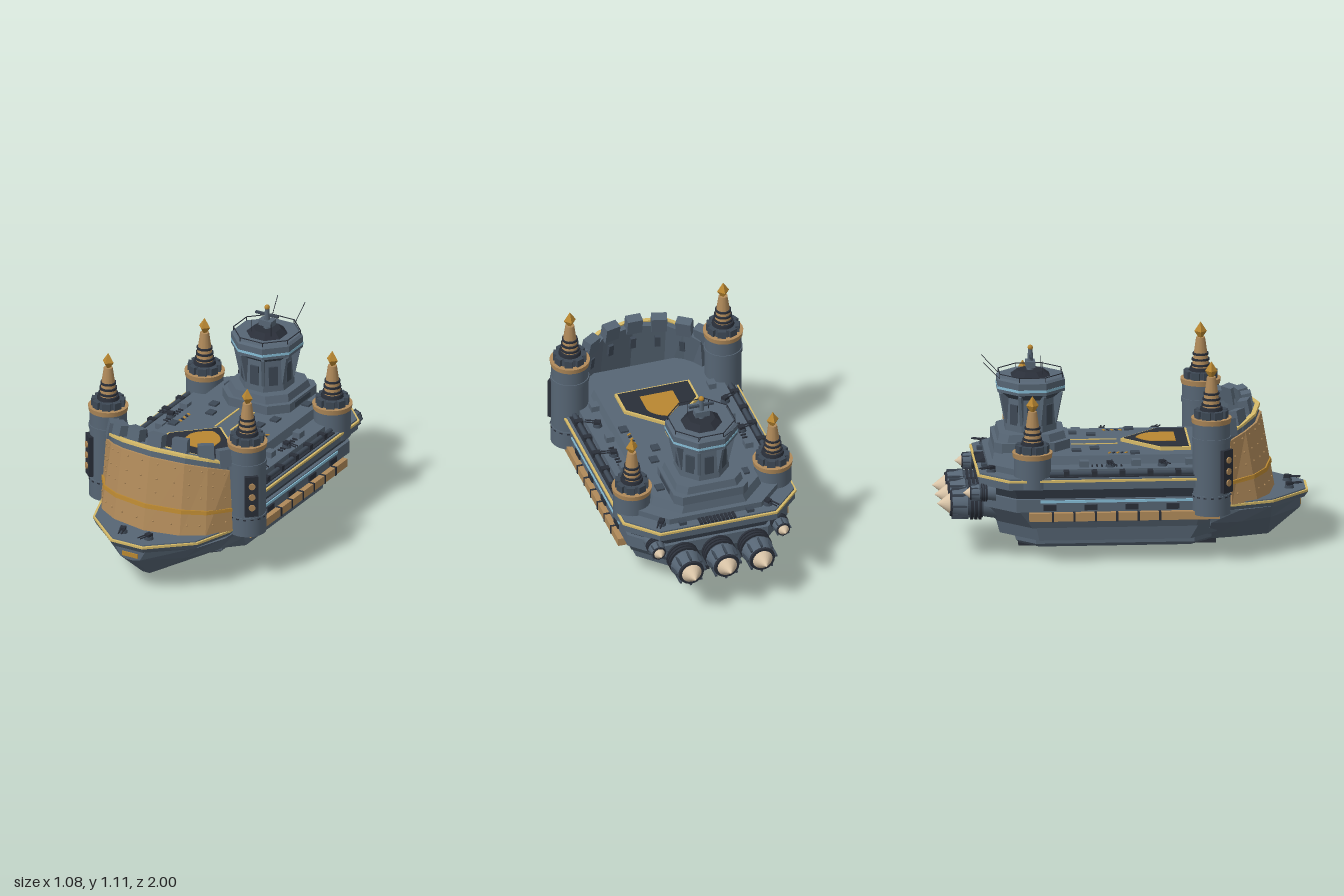
import * as THREE from 'three';

const mat = (name, color) => Object.assign(new THREE.MeshStandardMaterial({ color }), { name });

export function createModel() {
  const slate = mat('slate', 0x566574), deep = mat('deepSlate', 0x3d4855), dark = mat('charcoal', 0x2a2f39);
  const bronze = mat('bronze', 0xb08a5a), gold = mat('gold', 0xb98731), trim = mat('paleGold', 0xd6ba68);
  const cream = mat('cream', 0xdac5a8), blue = mat('lightBlue', 0x86bdd6);
  const root = new THREE.Group();

  const add = (p, name, geo, m, x = 0, y = 0, z = 0, rx = 0, ry = 0, rz = 0) => {
    const o = new THREE.Mesh(geo, m);
    o.name = name;
    o.position.set(x, y, z);
    o.rotation.set(rx, ry, rz, 'YXZ');
    p.add(o);
    return o;
  };
  const box = (w, h, d) => new THREE.BoxGeometry(w, h, d);
  const cyl = (rt, rb, h, n = 24) => new THREE.CylinderGeometry(rt, rb, h, n);
  const flat = (g) => { const f = g.toNonIndexed(); f.computeVertexNormals(); return f; };
  const oct = (rt, rb, h) => flat(cyl(rt, rb, h, 8).rotateY(Math.PI / 8));
  const both = (fn) => [-1, 1].forEach(fn);

  // Flat-shaded solid through convex rings; turned outward by its signed volume
  const loft = (rings) => {
    const tris = [], n = rings[0].length;
    for (let i = 0; i + 1 < rings.length; i++) for (let j = 0; j < n; j++) {
      const k = (j + 1) % n, a = rings[i], b = rings[i + 1];
      tris.push([a[j], a[k], b[k]], [a[j], b[k], b[j]]);
    }
    const end = rings[rings.length - 1];
    for (let j = 1; j + 1 < n; j++) tris.push([rings[0][0], rings[0][j + 1], rings[0][j]], [end[0], end[j], end[j + 1]]);
    const v = (p) => new THREE.Vector3(...p);
    const vol = tris.reduce((s, [a, b, c]) => s + v(a).dot(v(b).cross(v(c))), 0);
    const pos = tris.flatMap(([a, b, c]) => (vol < 0 ? [a, c, b] : [a, b, c])).flat();
    const g = new THREE.BufferGeometry();
    g.setAttribute('position', new THREE.Float32BufferAttribute(pos, 3));
    g.computeVertexNormals();
    return g;
  };
  // Chamfered deck outline: half width, back z, front z, back and front chamfers
  const plan = (y, hx, z0, z1, cb, cf) => [[hx, y, z0 + cb], [hx, y, z1 - cf], [hx - cf, y, z1], [cf - hx, y, z1],
    [-hx, y, z1 - cf], [-hx, y, z0 + cb], [cb - hx, y, z0], [hx - cb, y, z0]];
  const slab = (name, m, y0, y1, a, b = a) => add(root, name, loft([plan(y0, ...a), plan(y1, ...b)]), m);

  // Hull tiers from keel to deck
  add(root, 'keel', box(0.05, 0.05, 1.06), dark, 0, 0.025, -0.02);
  slab('lowerBelly', slate, 0.04, 0.06, [0.21, -0.55, 0.46, 0.1, 0.1], [0.23, -0.57, 0.48, 0.1, 0.1]);
  slab('lowerBelly', slate, 0.06, 0.12, [0.23, -0.57, 0.48, 0.1, 0.1]);
  slab('belly', slate, 0.11, 0.2, [0.36, -0.66, 0.5, 0.2, 0.15], [0.37, -0.68, 0.55, 0.2, 0.15]);
  slab('bilge', slate, 0.19, 0.29, [0.4, -0.68, 0.58, 0.18, 0.2], [0.44, -0.74, 0.6, 0.17, 0.2]);
  slab('hullSide', slate, 0.29, 0.36, [0.45, -0.75, 0.62, 0.16, 0.2]);
  slab('hullRecess', deep, 0.36, 0.42, [0.43, -0.73, 0.61, 0.15, 0.2], [0.46, -0.75, 0.63, 0.15, 0.2]);
  slab('deckLip', slate, 0.42, 0.462, [0.48, -0.78, 0.64, 0.15, 0.2]);
  slab('deckTrim', trim, 0.462, 0.474, [0.49, -0.79, 0.64, 0.16, 0.2]);
  slab('mainDeck', slate, 0.47, 0.482, [0.478, -0.778, 0.64, 0.155, 0.2]);
  slab('midDeck', slate, 0.48, 0.515, [0.41, -0.73, 0.66, 0.15, 0.16]);
  slab('upperDeck', slate, 0.515, 0.56, [0.31, -0.7, 0.6, 0.13, 0.13], [0.295, -0.69, 0.59, 0.13, 0.13]);

  // Side fittings: light strip, bumper beam, gutter pipes
  both((s) => {
    add(root, 'lightStrip', box(0.008, 0.014, 0.82), blue, s * 0.453, 0.348, -0.05);
    add(root, 'bumperBeam', box(0.05, 0.045, 1.02), bronze, s * 0.455, 0.267, -0.01);
    for (let i = 0; i < 6; i++) add(root, 'beamClamp', box(0.056, 0.05, 0.012), dark, s * 0.455, 0.267, 0.18 - i * 0.115);
    add(root, 'gutter', box(0.05, 0.008, 0.78), dark, s * 0.44, 0.484, -0.02);
    add(root, 'gutterPipe', cyl(0.013, 0.013, 0.78, 10), deep, s * 0.44, 0.497, -0.02, Math.PI / 2);
    for (let i = 0; i < 5; i++) add(root, 'pipeJoint', box(0.045, 0.035, 0.03), dark, s * 0.44, 0.498, 0.28 - i * 0.15);
    for (let i = 0; i < 4; i++) add(root, 'sideHatch', box(0.012, 0.03, 0.07), dark, s * 0.453, 0.315, 0.25 - i * 0.22);
    for (let i = 0; i < 9; i++) add(root, 'deckVent', box(0.03, 0.012, 0.008), dark, s * 0.355, 0.517, -0.02 - i * 0.026);
    [[0.15, -0.15], [0.19, -0.25], [0.26, 0.06], [0.24, -0.5]].forEach(([x, z]) =>
      add(root, 'deckHatch', box(0.045, 0.014, 0.05), deep, s * x, 0.564, z));
    [[0.34, 0.06], [0.35, -0.22], [0.33, 0.35]].forEach(([x, z]) =>
      add(root, 'deckLocker', box(0.045, 0.035, 0.05), slate, s * x, 0.53, z));
    add(root, 'aftHatch', box(0.04, 0.02, 0.04), deep, s * 0.19, 0.49, -0.74);
    add(root, 'runwayLine', box(0.01, 0.004, 0.25), trim, s * 0.048, 0.562, -0.145);
    for (let i = 0; i < 5; i++) add(root, 'hazardStripe', box(0.022, 0.004, 0.01), i % 2 ? dark : gold, s * 0.245, 0.562, -0.075 + i * 0.022, 0, s * 0.5);
  });
  for (let i = 0; i < 10; i++) add(root, 'aftGrille', box(0.015, 0.012, 0.05), dark, -0.094 + i * 0.021, 0.486, -0.757);

  // Deck emblem plate
  const shield = (w, z0, zs, za) => new THREE.Shape([[-w, -z0], [w, -z0], [w, -zs], [0, -za], [-w, -zs]].map((p) => new THREE.Vector2(...p)));
  const plate = (shape, d) => new THREE.ExtrudeGeometry(shape, { depth: d, bevelEnabled: false }).rotateX(-Math.PI / 2);
  add(root, 'padTrim', plate(shield(0.21, 0.365, 0.2, 0), 0.018), trim, 0, 0.56);
  add(root, 'pad', plate(shield(0.197, 0.353, 0.206, 0.017), 0.004), dark, 0, 0.578);
  const arch = new THREE.Shape();
  arch.moveTo(-0.093, -0.29).lineTo(0.093, -0.29).lineTo(0.093, -0.17);
  arch.quadraticCurveTo(0.075, -0.11, 0, -0.08).quadraticCurveTo(-0.075, -0.11, -0.093, -0.17);
  add(root, 'padArch', plate(arch, 0.004), gold, 0, 0.582);

  // Prow
  const rib = (z, t, l, ly, ky) => [[-t, 0.27, z], [t, 0.27, z], [l, ly, z], [0.022, ky, z], [-0.022, ky, z], [-l, ly, z]];
  add(root, 'prow', loft([rib(0.46, 0.4, 0.39, 0.2, 0.02), rib(0.62, 0.39, 0.35, 0.195, 0.03),
    rib(0.79, 0.32, 0.24, 0.19, 0.045), rib(0.96, 0.1, 0.06, 0.2, 0.19)]), slate);
  const bow = (y, i) => [[0.4 - i, 0.5], [0.4 - i, 0.58], [0.325 - i, 0.8], [0.1 - i / 2, 1 - i],
    [i / 2 - 0.1, 1 - i], [i - 0.325, 0.8], [i - 0.4, 0.58], [i - 0.4, 0.5]].map(([x, z]) => [x, y, z]);
  add(root, 'prowDeck', loft([bow(0.262, 0.02), bow(0.292, 0)]), slate);
  add(root, 'prowTrim', loft([bow(0.292, 0), bow(0.304, 0)]), trim);
  add(root, 'prowDeckTop', loft([bow(0.3, 0.012), bow(0.31, 0.014)]), slate);
  add(root, 'prowPlate', box(0.095, 0.025, 0.008), gold, 0, 0.222, 0.962);

  // Leaning shield wall: bottom x, z, top x, z, top y, outward angle
  const half = [[0, 0.815, 0, 0.735, 0.76, 0], [0.2, 0.775, 0.19, 0.7, 0.748, 0.33], [0.315, 0.705, 0.29, 0.635, 0.722, 0.75], [0.398, 0.565, 0.372, 0.555, 0.688, 1.05]];
  const stations = [...half.slice(1).reverse().map(([a, b, c, d, e, f]) => [-a, b, -c, d, e, -f]), ...half];
  const wallPt = (u, f, o) => {
    const i = Math.min(5, Math.floor(u)), k = u - i;
    const [xb, zb, xt, zt, yt, a] = stations[i].map((v, n) => v + (stations[i + 1][n] - v) * k);
    return [xb + (xt - xb) * f + Math.sin(a) * o, 0.3 + (yt - 0.3) * f, zb + (zt - zb) * f + Math.cos(a) * o];
  };
  const wall = (name, m, f0, f1, o0, o1) => add(root, name, loft(stations.map((_, u) =>
    [wallPt(u, f0, o0), wallPt(u, f0, o1), wallPt(u, f1, o1), wallPt(u, f1, o0)])), m);
  wall('wallCore', slate, 0, 0.99, -0.05, 0);
  wall('wallArmour', bronze, 0.01, 0.9, 0, 0.012);
  wall('wallBand', gold, 0.295, 0.345, 0, 0.02);
  wall('wallRim', trim, 0.98, 1.01, -0.012, 0.012);
  const rivet = new THREE.SphereGeometry(0.006, 6, 4);
  [0.15, 0.5, 0.66, 0.84].forEach((f) => {
    for (let i = 0; i < 12; i++) add(root, 'rivet', rivet, bronze, ...wallPt(0.25 + i * 0.5, f, 0.013));
  });
  // Merlons along the wall top
  [[0, 0.68, 0.775, 0], [0.137, 0.66, 0.77, 0.25], [0.265, 0.61, 0.745, 0.6], [0.35, 0.55, 0.715, 0.95]].forEach(([x, z, y, a]) =>
    (x ? [-1, 1] : [1]).forEach((s) => {
      add(root, 'merlon', box(0.085, 0.095, 0.055), slate, s * x, y, z, -0.2, s * a);
      add(root, 'wallSlit', box(0.03, 0.07, 0.02), deep, s * x * 0.97, y - 0.13, z + 0.012, -0.15, s * a);
    }));

  // Round corner towers with spires; local zero is the gold ring
  const tower = (name, x, y, z, h) => {
    const g = new THREE.Group();
    g.name = name;
    g.position.set(x, y, z);
    root.add(g);
    add(g, 'towerBody', cyl(0.1, 0.1, h), slate, 0, -h / 2);
    add(g, 'towerRing', cyl(0.109, 0.105, 0.028), bronze, 0, 0.014);
    add(g, 'towerTop', cyl(0.076, 0.08, 0.045), deep, 0, 0.045);
    for (let i = 0; i < 8; i++) {
      const a = (i + 0.5) * Math.PI / 4;
      add(g, 'crownBlock', box(0.045, 0.042, 0.026), deep, Math.sin(a) * 0.076, 0.048, Math.cos(a) * 0.076, 0, a);
    }
    add(g, 'spireFoot', cyl(0.058, 0.062, 0.02, 16), dark, 0, 0.076);
    add(g, 'spire', cyl(0.024, 0.048, 0.17, 12), bronze, 0, 0.165);
    [[0.1, 0.052], [0.13, 0.048], [0.16, 0.043]].forEach(([yy, r]) => add(g, 'spireRing', cyl(r, r, 0.011, 16), dark, 0, yy));
    add(g, 'finial', new THREE.OctahedronGeometry(1).scale(0.034, 0.052, 0.034), gold, 0, 0.283);
    return g;
  };
  both((s) => {
    tower('rearTower', s * 0.397, 0.585, -0.5, 0.16);
    const t = tower('frontTower', s * 0.432, 0.77, 0.458, 0.5);
    add(t, 'towerCollar', cyl(0.105, 0.105, 0.024), slate, 0, -0.09);
    add(t, 'towerSleeve', cyl(0.104, 0.104, 0.11), slate, 0, -0.445);
    for (let i = 0; i < 16; i++) {
      const a = i * Math.PI / 8;
      add(t, 'towerSlot', box(0.016, 0.006, 0.006), dark, Math.sin(a) * 0.104, -0.4, Math.cos(a) * 0.104, 0, a);
    }
    const lamp = new THREE.Group();
    lamp.name = 'lampPanel';
    lamp.position.set(s * 0.072, -0.255, 0.078);
    lamp.rotation.y = s * 0.76;
    t.add(lamp);
    add(lamp, 'lampPlate', box(0.072, 0.235, 0.024), dark);
    for (let i = -1; i <= 1; i++) add(lamp, 'lampDisc', cyl(0.018, 0.018, 0.01, 16), bronze, 0, i * 0.063, 0.015, Math.PI / 2);
  });

  // Command tower
  const cz = -0.485;
  slab('bridgeBase', slate, 0.555, 0.61, [0.21, -0.69, -0.28, 0.04, 0.09]);
  slab('bridgeStep', slate, 0.61, 0.65, [0.19, -0.67, -0.3, 0.05, 0.09], [0.18, -0.66, -0.31, 0.05, 0.09]);
  add(root, 'bridgeNeck', oct(0.135, 0.15, 0.2), slate, 0, 0.74, cz);
  add(root, 'bridgeFlare', oct(0.185, 0.125, 0.05), deep, 0, 0.842, cz);
  add(root, 'bridgeDrum', oct(0.195, 0.195, 0.065), slate, 0, 0.897, cz);
  add(root, 'bridgeWindows', oct(0.1965, 0.1965, 0.014), blue, 0, 0.888, cz);
  add(root, 'bridgeRoof', oct(0.18, 0.195, 0.012), slate, 0, 0.934, cz);
  add(root, 'bridgeDome', oct(0.075, 0.122, 0.035), dark, 0, 0.95, cz);
  for (let i = 0; i < 8; i++) {
    const a = i * Math.PI / 4, b = a + Math.PI / 8;
    add(root, 'neckPanel', box(0.05, 0.11, 0.012), deep, Math.sin(a) * 0.132, 0.74, cz + Math.cos(a) * 0.132, 0, a);
    add(root, 'neckStrut', box(0.016, 0.17, 0.05), slate, Math.sin(b) * 0.14, 0.775, cz + Math.cos(b) * 0.14, 0.2, b);
    add(root, 'railPost', box(0.004, 0.024, 0.004), dark, Math.sin(b) * 0.182, 0.948, cz + Math.cos(b) * 0.182);
    add(root, 'rail', box(0.14, 0.004, 0.004), dark, Math.sin(a) * 0.168, 0.96, cz + Math.cos(a) * 0.168, 0, a);
  }
  add(root, 'mast', cyl(0.012, 0.02, 0.12, 8), slate, 0, 1.02, cz);
  add(root, 'sensorBox', box(0.08, 0.033, 0.05), slate, 0, 1.0, cz);
  add(root, 'crossbar', box(0.14, 0.012, 0.014), deep, 0, 1.045, cz);
  add(root, 'mastBall', new THREE.SphereGeometry(0.015, 10, 8), gold, 0, 1.088, cz);
  both((s) => {
    add(root, 'antenna', cyl(0.002, 0.002, 0.14, 5), dark, s * 0.078, 0.98, cz - 0.21, -0.75, 0, s * -0.1);
    add(root, 'shortAntenna', cyl(0.002, 0.002, 0.09, 5), dark, s * 0.06, 0.98, cz + 0.06);
    add(root, 'bridgeSideVent', box(0.01, 0.03, 0.16), deep, s * 0.208, 0.585, -0.5);
  });

  // Rear engines; local -z is aft
  const engine = (x, y, z, k) => {
    const g = new THREE.Group();
    g.name = 'engine';
    g.position.set(x, y, z);
    g.scale.setScalar(k);
    root.add(g);
    const q = -Math.PI / 2;
    add(g, 'engineMount', cyl(0.07, 0.085, 0.09), slate, 0, 0, 0.03, q);
    for (let i = 0; i < 3; i++) add(g, 'engineRing', cyl(0.09, 0.09, 0.014), dark, 0, 0, -0.02 - i * 0.022, q);
    add(g, 'engineCore', cyl(0.078, 0.078, 0.09), deep, 0, 0, -0.05, q);
    add(g, 'nozzle', cyl(0.066, 0.088, 0.085, 16), slate, 0, 0, -0.13, q);
    for (let i = 0; i < 8; i++) {
      const a = i * Math.PI / 4;
      add(g, 'nozzleFin', box(0.012, 0.012, 0.09), deep, Math.sin(a) * 0.08, Math.cos(a) * 0.08, -0.125);
    }
    add(g, 'nozzleLip', cyl(0.068, 0.072, 0.012), dark, 0, 0, -0.175, q);
    add(g, 'exhaustCone', new THREE.ConeGeometry(0.056, 0.07, 20), cream, 0, 0, -0.215, q);
  };
  [-0.2, 0, 0.2].forEach((x) => engine(x, 0.285, -0.75, 1));
  both((s) => engine(s * 0.35, 0.38, -0.735, 0.54));

  // Small twin-gun turrets
  const turret = (x, y, z, ry) => {
    const g = new THREE.Group();
    g.name = 'turret';
    g.position.set(x, y, z);
    g.rotation.y = ry;
    root.add(g);
    add(g, 'turretBase', cyl(0.022, 0.026, 0.016, 12), deep, 0, 0.008);
    add(g, 'turretHead', box(0.03, 0.018, 0.034), dark, 0, 0.023);
    both((s) => add(g, 'gunBarrel', cyl(0.004, 0.004, 0.06, 6), dark, s * 0.009, 0.025, 0.04, Math.PI / 2));
  };
  both((s) => {
    turret(s * 0.08, 0.31, 0.9, -s * 0.3);
    turret(s * 0.36, 0.515, 0.2, s * 1.1);
    turret(s * 0.36, 0.515, -0.08, s * 1.4);
    turret(s * 0.3, 0.482, -0.715, s * 2.6);
  });
  return root;
}
